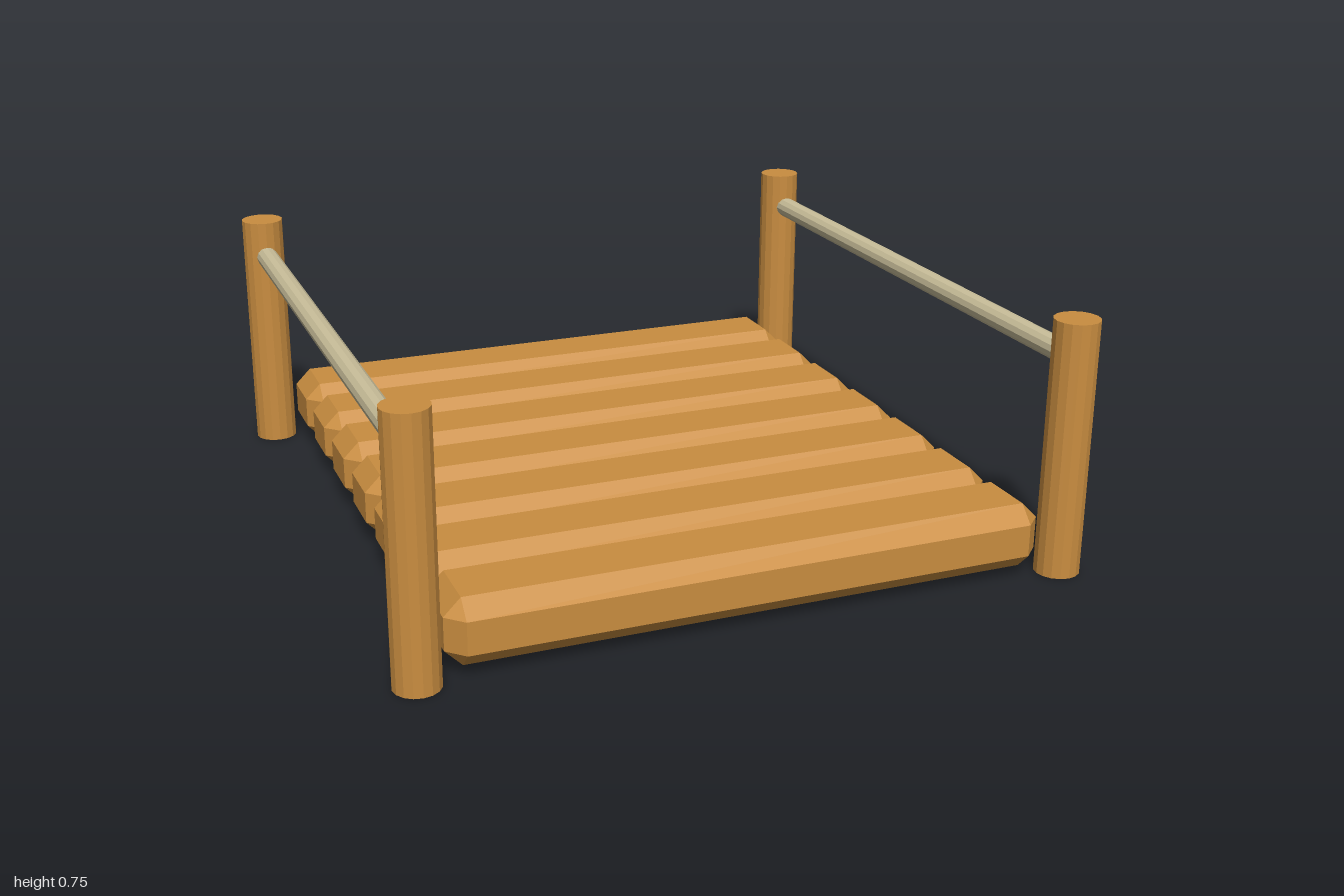
import * as THREE from 'three';
import { ConvexGeometry } from 'three/addons/geometries/ConvexGeometry.js';

// Box with every edge and corner cut off by c; half sizes x, y, z
function chamferedBox(x, y, z, c) {
  const points = [];
  for (const sx of [-1, 1]) for (const sy of [-1, 1]) for (const sz of [-1, 1]) {
    points.push(
      new THREE.Vector3(sx * x, sy * (y - c), sz * (z - c)),
      new THREE.Vector3(sx * (x - c), sy * y, sz * (z - c)),
      new THREE.Vector3(sx * (x - c), sy * (y - c), sz * z),
    );
  }
  return new ConvexGeometry(points);
}

export function createModel() {
  const group = new THREE.Group();
  const wood = new THREE.MeshStandardMaterial({ color: 0xc98d40, flatShading: true });
  wood.name = 'wood';
  const rope = new THREE.MeshStandardMaterial({ color: 0xcabf9a, flatShading: true });
  rope.name = 'rope';

  const add = (name, geometry, material, x, y, z) => {
    const mesh = new THREE.Mesh(geometry, material);
    mesh.name = name;
    mesh.position.set(x, y, z);
    group.add(mesh);
    return mesh;
  };

  // Seven deck planks, front to back
  const plank = chamferedBox(0.86, 0.095, 0.13, 0.048);
  for (let i = -3; i <= 3; i++) add('plank', plank, wood, 0, 0.125, i * 0.281);

  // Corner posts and a side rail between each pair
  const post = new THREE.CylinderGeometry(0.065, 0.065, 0.75, 16);
  const rail = new THREE.CylinderGeometry(0.033, 0.033, 1.87, 12);
  for (const side of [-1, 1]) {
    const x = side * 0.935;
    for (const end of [-1, 1]) add('post', post, wood, x, 0.375, end * 0.935);
    add('rail', rail, rope, x, 0.637, 0).rotation.x = Math.PI / 2;
  }
  return group;
}
